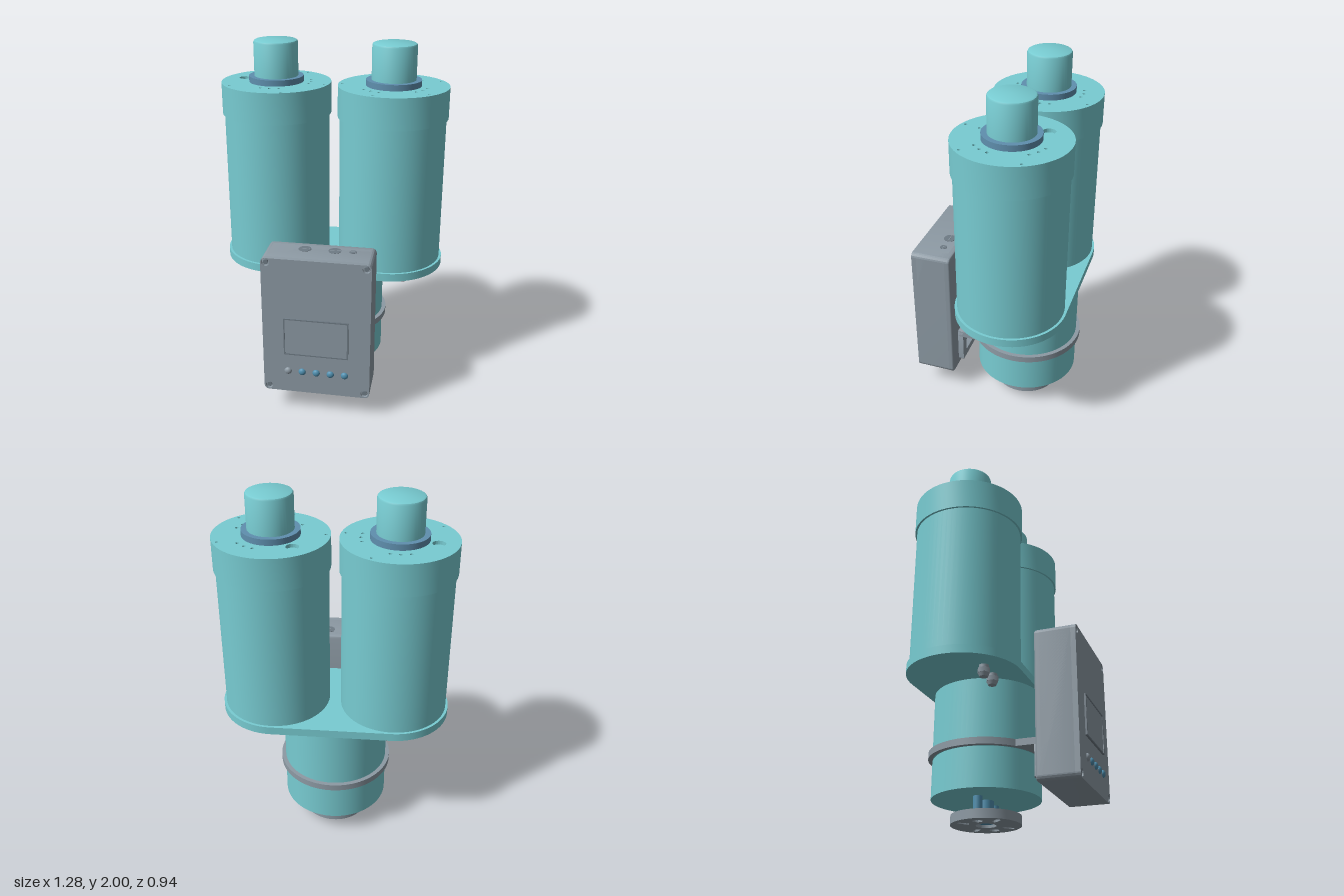
import * as THREE from 'three';
import { toCreasedNormals } from 'three/addons/utils/BufferGeometryUtils.js';

const paint = (color) => new THREE.MeshStandardMaterial({ color });
const teal = paint(0x78ccd2), grey = paint(0x8d9aa4), dark = paint(0x6f7b85);
const steel = paint(0x5f8fae), blue = paint(0x4f8faf);
const Z = -0.15; // depth of the cylinder axes

function add(parent, name, geometry, material, x = 0, y = 0, z = 0) {
  const mesh = new THREE.Mesh(geometry, material);
  mesh.name = name;
  mesh.position.set(x, y, z);
  parent.add(mesh);
  return mesh;
}

// Upright cylinder spanning y0..y1
function drum(parent, name, r, y0, y1, material, x = 0, z = Z, sides = 64) {
  return add(parent, name, new THREE.CylinderGeometry(r, r, y1 - y0, sides), material, x, (y0 + y1) / 2, z);
}

const circle = (x, y, r) => new THREE.Path().absarc(x, y, r, 0, Math.PI * 2, true);

function disc(r) {
  const s = new THREE.Shape();
  s.absarc(0, 0, r, 0, Math.PI * 2, false);
  return s;
}

function extrude(shape, depth, options = {}) {
  const g = new THREE.ExtrudeGeometry(shape, { depth, bevelEnabled: false, curveSegments: 32, ...options });
  return toCreasedNormals(g, 0.6);
}

// Horizontal slab: shape (x, z) extruded downward from its top
const slab = (shape, height) => extrude(shape, height).rotateX(Math.PI / 2);

function roundedRect(x0, y0, x1, y1, r) {
  const s = new THREE.Shape();
  s.absarc(x1 - r, y1 - r, r, 0, Math.PI / 2);
  s.absarc(x0 + r, y1 - r, r, Math.PI / 2, Math.PI);
  s.absarc(x0 + r, y0 + r, r, Math.PI, Math.PI * 1.5);
  s.absarc(x1 - r, y0 + r, r, Math.PI * 1.5, Math.PI * 2);
  return s;
}

// Radial slot hole with round ends
function slot(angle, r0, r1, w) {
  const p = new THREE.Path(), c = Math.cos(angle), s = Math.sin(angle);
  p.absarc(c * r1, s * r1, w, angle - Math.PI / 2, angle + Math.PI / 2);
  p.absarc(c * r0, s * r0, w, angle + Math.PI / 2, angle + Math.PI * 1.5);
  return p;
}

// Tall canister with drilled cap, collar and outlet stub; turn rotates the hole pattern
function canister(x, turn) {
  const g = new THREE.Group();
  g.name = 'canister';
  drum(g, 'canisterBody', 0.297, 0.76, 1.75, teal, 0, 0);
  const cap = disc(0.308);
  const drill = (deg, dist, r) => {
    const a = THREE.MathUtils.degToRad(deg + turn);
    cap.holes.push(circle(Math.cos(a) * dist, Math.sin(a) * dist, r));
  };
  for (const mid of [-92, -2, 88]) for (const d of [-15, 0, 15]) drill(mid + d, 0.198, 0.009);
  for (const a of [-62, 9, 72, 142]) drill(a, 0.283, 0.008);
  drill(194, 0.2, 0.034);
  add(g, 'canisterCap', slab(cap, 0.175), teal, 0, 1.77, 0);
  drum(g, 'collar', 0.153, 1.76, 1.803, steel, 0, 0);
  const profile = [[0.123, 1.78], [0.123, 1.988], [0.119, 1.996], [0.111, 2], [0, 2]];
  const stub = new THREE.LatheGeometry(profile.map(([r, y]) => new THREE.Vector2(r, y)), 48);
  add(g, 'outletStub', toCreasedNormals(stub, 0.6), teal);
  g.position.set(x, 0, Z);
  return g;
}

// Cable gland hanging down from its own origin
function gland(x, y, z) {
  const g = new THREE.Group();
  g.name = 'cableGland';
  drum(g, 'glandNeck', 0.026, -0.02, 0, grey, 0, 0, 24);
  drum(g, 'glandNut', 0.034, -0.044, -0.018, grey, 0, 0, 6);
  add(g, 'glandTip', new THREE.CylinderGeometry(0.03, 0.022, 0.02, 24), grey, 0, -0.054, 0);
  g.position.set(x, y, z);
  return g;
}

function controlBox() {
  const g = new THREE.Group();
  g.name = 'controlBox';
  // Bevelled rear shell and square-edged front lid with screw holes
  const b = 0.012;
  const shell = roundedRect(-0.3 + b, 0.13 + b, 0.3 - b, 0.955 - b, 0.015);
  add(g, 'boxShell', extrude(shell, 0.19, { bevelEnabled: true, bevelSize: b, bevelThickness: b, bevelSegments: 3 }), grey, 0, 0, 0.237);
  const lid = roundedRect(-0.3, 0.13, 0.3, 0.955, 0.027);
  const corners = [-0.272, 0.272].flatMap((x) => [0.158, 0.93].map((y) => [x, y]));
  for (const [x, y] of corners) lid.holes.push(circle(x, y, 0.021));
  add(g, 'boxLid', extrude(lid, 0.2), grey, 0, 0, 0.255);
  for (const [x, y] of corners)
    add(g, 'lidScrew', new THREE.CylinderGeometry(0.013, 0.013, 0.012, 20).rotateX(Math.PI / 2), dark, x, y, 0.444);

  // Display: raised bezel and inset glass
  const bezel = roundedRect(-0.18, 0.375, 0.18, 0.602, 0.004);
  bezel.holes.push(roundedRect(-0.173, 0.382, 0.173, 0.595, 0.004));
  add(g, 'displayBezel', extrude(bezel, 0.012), dark, 0, 0, 0.453);
  add(g, 'display', new THREE.BoxGeometry(0.346, 0.213, 0.01), grey, 0, 0.4885, 0.456);

  // Button row
  for (let i = 0; i < 5; i++) {
    const dome = new THREE.SphereGeometry(0.021, 24, 8, 0, Math.PI * 2, 0, Math.PI / 2);
    dome.scale(1, 0.75, 1).rotateX(Math.PI / 2);
    add(g, 'button', dome, i ? blue : grey, -0.16 + i * 0.08, 0.265, 0.454);
  }

  // Slotted plugs on the top
  for (const [x, r] of [[-0.085, 0.035], [0.08, 0.035], [0.18, 0.02]]) {
    drum(g, 'plug', r, 0.945, 0.957, dark, x, 0.305, 32);
    add(g, 'plugSlot', new THREE.BoxGeometry(r * 1.8, 0.003, 0.004), grey, x, 0.957, 0.305);
  }
  return g;
}

export function createModel() {
  const model = new THREE.Group();
  model.name = 'twinCanisterUnit';

  model.add(canister(-0.33, 0), canister(0.33, 35));

  // Stadium-shaped carrier plate
  const carrier = new THREE.Shape();
  carrier.absarc(0.33, 0, 0.311, -Math.PI / 2, Math.PI / 2);
  carrier.absarc(-0.33, 0, 0.311, Math.PI / 2, Math.PI * 1.5);
  add(model, 'carrierPlate', slab(carrier, 0.046), teal, 0, 0.767, Z);

  // Lower housing in two sections with a groove
  drum(model, 'upperHousing', 0.297, 0.35, 0.73, teal);
  drum(model, 'housingGroove', 0.288, 0.33, 0.36, teal);
  drum(model, 'lowerHousing', 0.297, 0.13, 0.338, teal);

  // Clamp ring with a straight arm reaching the control box
  const a = Math.acos(0.21 / 0.32);
  const clamp = new THREE.Shape();
  clamp.moveTo(0.21, 0.375);
  clamp.lineTo(-0.21, 0.375);
  clamp.absarc(0, 0, 0.32, Math.PI - a, Math.PI * 2 + a, false);
  clamp.closePath();
  clamp.holes.push(circle(0, 0, 0.295));
  add(model, 'clampRing', slab(clamp, 0.037), grey, 0, 0.386, Z);
  drum(model, 'clampScrew', 0.018, 0.38, 0.392, dark, -0.15, 0.2, 24);

  // Open mounting frame behind the box
  const frame = roundedRect(-0.21, 0.175, 0.21, 0.386, 0.005);
  frame.holes.push(roundedRect(-0.16, 0.215, 0.16, 0.345, 0.01));
  add(model, 'mountFrame', extrude(frame, 0.036), grey, 0, 0, 0.192);

  model.add(controlBox());

  // Cable glands under the carrier and on the box back
  for (const x of [-0.435, -0.315, 0.315, 0.43]) model.add(gland(x, 0.722, 0));
  const backGland = gland(0.14, 0.575, 0.226);
  backGland.rotation.x = Math.PI / 2;
  model.add(backGland);

  // Slotted foot flange on three rods
  const foot = disc(0.19);
  foot.holes.push(circle(0, 0, 0.055));
  for (const x of [-0.12, 0.12]) foot.holes.push(circle(x, 0, 0.027));
  for (let i = 0; i < 4; i++) foot.holes.push(slot(Math.PI / 4 + i * Math.PI / 2, 0.11, 0.15, 0.014));
  add(model, 'footFlange', slab(foot, 0.05), grey, 0, 0.05, Z);
  const hub = disc(0.06);
  hub.holes.push(circle(0, 0, 0.03));
  add(model, 'footHub', slab(hub, 0.025), dark, 0, 0.045, Z);
  drum(model, 'centreRod', 0.04, 0.012, 0.14, blue, 0, Z, 32);
  for (const x of [-0.12, 0.12]) drum(model, 'sideRod', 0.025, 0.01, 0.14, blue, x, Z, 24);

  return model;
}
